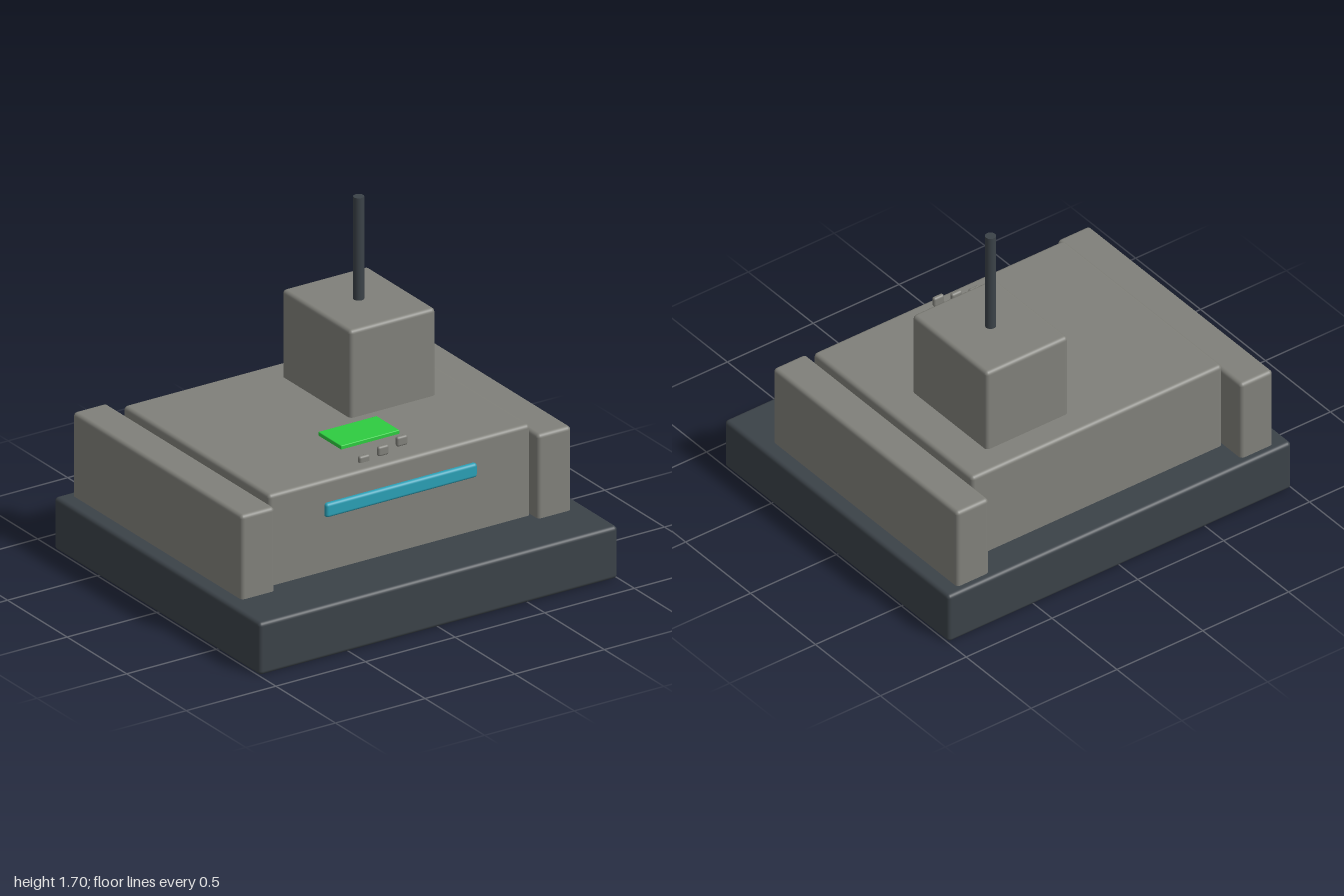
import * as THREE from 'three';
import { RoundedBoxGeometry } from 'three/addons/geometries/RoundedBoxGeometry.js';

function material(name, color) {
  const m = new THREE.MeshStandardMaterial({ color });
  m.name = name;
  return m;
}

export function createModel() {
  const group = new THREE.Group();
  group.name = 'console';
  const darkGrey = material('darkGrey', 0x3b4248);
  const warmGrey = material('warmGrey', 0x80807a);
  const green = material('green', 0x2ecc40);
  const teal = material('teal', 0x2a9fb5);

  // Rounded block given by its [min, max] range on each axis
  function block(name, mat, [x0, x1], [y0, y1], [z0, z1], radius) {
    const mesh = new THREE.Mesh(
      new RoundedBoxGeometry(x1 - x0, y1 - y0, z1 - z0, 3, radius), mat);
    mesh.position.set((x0 + x1) / 2, (y0 + y1) / 2, (z0 + z1) / 2);
    mesh.name = name;
    group.add(mesh);
    return mesh;
  }

  // Plinth and main housing
  block('base', darkGrey, [-1, 1], [0, 0.267], [-0.865, 0.865], 0.02);
  block('body', warmGrey, [-0.73, 0.73], [0.22, 0.73], [-0.69, 0.537], 0.02);

  // Side walls
  block('leftWall', warmGrey, [0.733, 0.921], [0.22, 0.694], [-0.827, 0.594], 0.02);
  block('rightWall', warmGrey, [-0.921, -0.733], [0.22, 0.694], [-0.827, 0.594], 0.02);

  // Tower with its antenna
  block('tower', warmGrey, [0.067, 0.545], [0.69, 1.174], [-0.557, 0.019], 0.02);
  const antenna = new THREE.Mesh(new THREE.CylinderGeometry(0.026, 0.026, 0.57, 24), darkGrey);
  antenna.position.set(0.306, 1.41, -0.27);
  antenna.name = 'antenna';
  group.add(antenna);

  // Display on the deck and light strip on the front
  block('display', green, [-0.163, 0.163], [0.715, 0.749], [0.096, 0.289], 0.004);
  block('lightStrip', teal, [-0.422, 0.422], [0.543, 0.615], [0.517, 0.557], 0.015);

  // Row of keys stepping upward
  for (let i = 0; i < 3; i++) {
    const x = -0.147 + i * 0.105, y = 0.736 + i * 0.0235;
    block('key' + (i + 1), warmGrey, [x - 0.03, x + 0.03], [y - 0.025, y + 0.025], [0.443, 0.467], 0.011);
  }
  return group;
}
